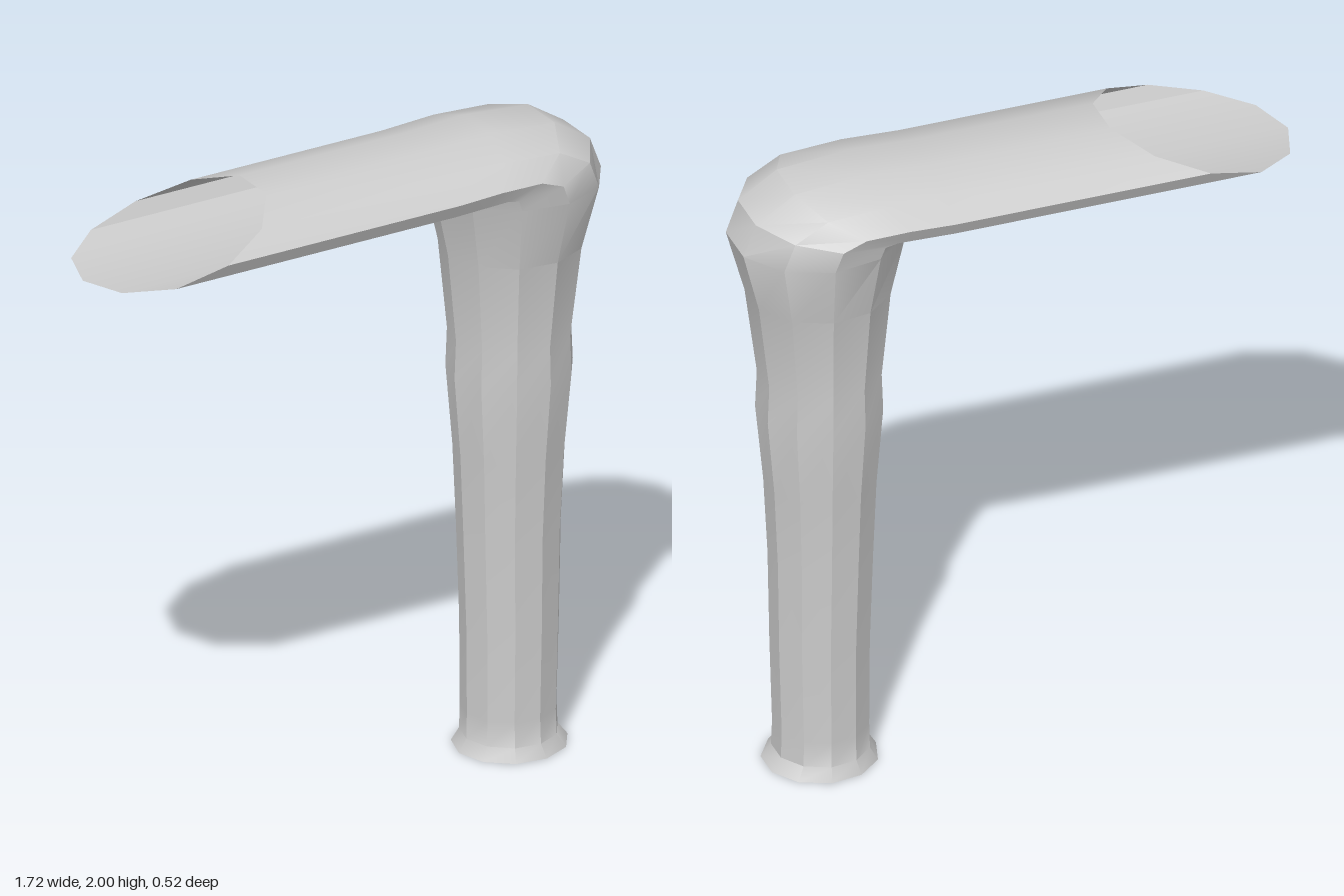
import * as THREE from 'three';
import { toCreasedNormals } from 'three/addons/utils/BufferGeometryUtils.js';

const SIDES = 11;

// Each ring: inner x, inner y, outer x, outer y, half width, sag of the sides
const RINGS = [
  // flared open foot
  [0.42, 0, 0.76, 0, 0.167, 0],
  [0.445, 0.04, 0.73, 0.04, 0.145, 0],
  [0.447, 0.12, 0.727, 0.12, 0.142, 0],
  // slender stem
  [0.445, 0.4, 0.735, 0.4, 0.145, 0],
  [0.435, 0.7, 0.74, 0.7, 0.152, 0],
  [0.425, 0.95, 0.752, 0.95, 0.164, 0],
  [0.405, 1.2, 0.775, 1.2, 0.185, 0],
  [0.41, 1.32, 0.77, 1.32, 0.182, 0],
  [0.383, 1.6, 0.805, 1.6, 0.21, 0],
  // rounded elbow
  [0.338, 1.81, 0.858, 1.8, 0.258, 0],
  [0.335, 1.82, 0.82, 1.9, 0.262, 0],
  [0.33, 1.82, 0.7, 1.98, 0.262, 0.02],
  [0.31, 1.82, 0.48, 2.0, 0.262, 0.03],
  // flattened arm with a slanted open tip
  [0.26, 1.82, 0.28, 1.99, 0.262, 0.03],
  [-0.858, 1.82, -0.28, 1.99, 0.262, 0.03],
];

function loftGeometry() {
  const positions = [];
  const index = [];
  RINGS.forEach(([ix, iy, ox, oy, w, sag], r) => {
    for (let i = 0; i < SIDES; i++) {
      // a vertex on the inner line, a flat facet on the outer one
      const a = Math.PI + (i / SIDES) * Math.PI * 2;
      const t = (1 + Math.cos(a)) / (1 + Math.cos(Math.PI / SIDES));
      const s = Math.sin(a);
      positions.push(ix + (ox - ix) * t, iy + (oy - iy) * t - sag * s * s, w * s);
      if (r < RINGS.length - 1) {
        const p = r * SIDES + i;
        const q = r * SIDES + ((i + 1) % SIDES);
        index.push(p, p + SIDES, q, q, p + SIDES, q + SIDES);
      }
    }
  });
  const geometry = new THREE.BufferGeometry();
  geometry.setAttribute('position', new THREE.Float32BufferAttribute(positions, 3));
  geometry.setIndex(index);
  return toCreasedNormals(geometry, 0.55);
}

export function createModel() {
  const group = new THREE.Group();
  const material = new THREE.MeshStandardMaterial({ color: 0xcccccc, side: THREE.DoubleSide });
  const pipe = new THREE.Mesh(loftGeometry(), material);
  pipe.name = 'bentPipe';
  group.add(pipe);
  return group;
}
